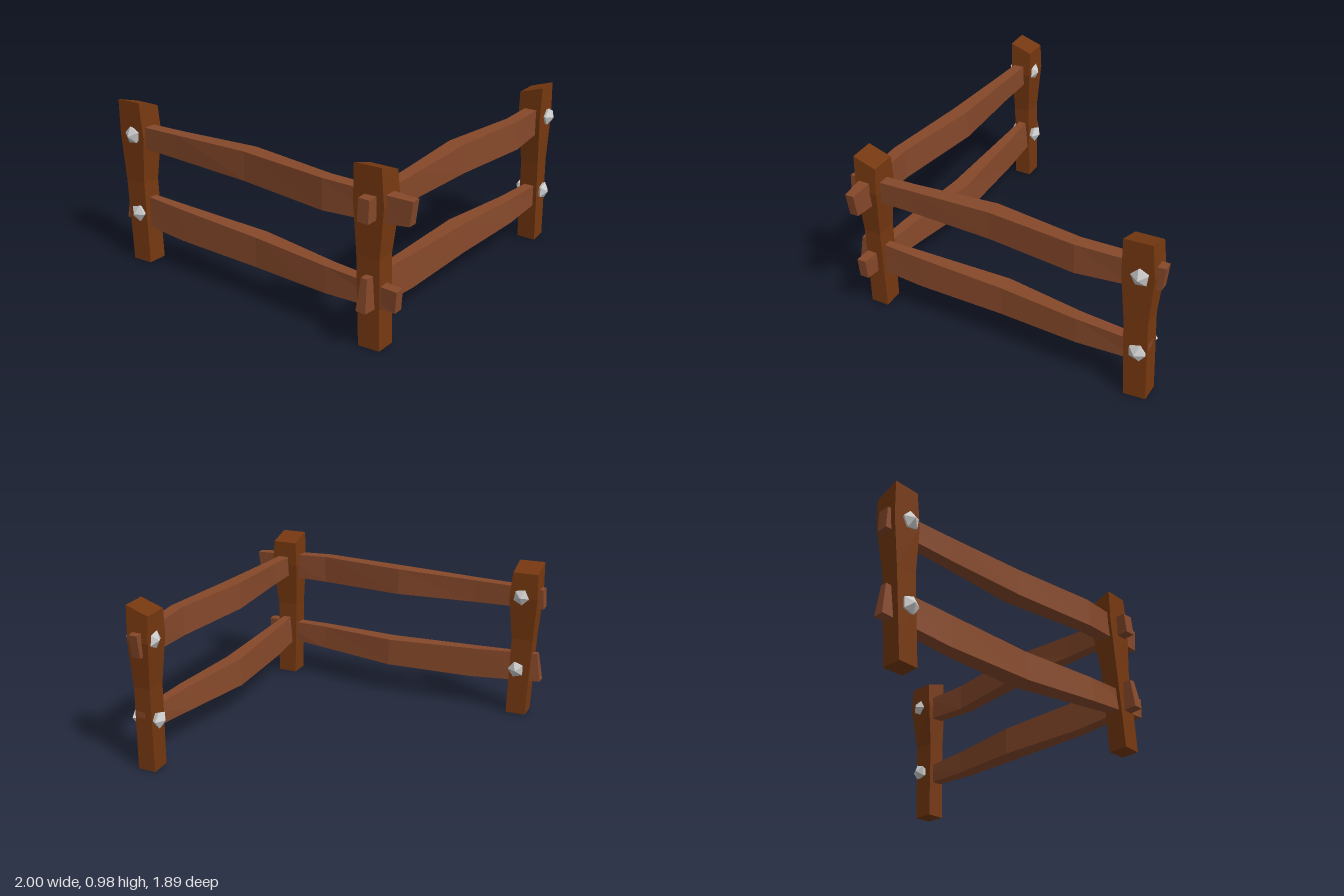
import * as THREE from 'three';

const postWood = new THREE.MeshStandardMaterial({ color: 0x763810, flatShading: true });
const railWood = new THREE.MeshStandardMaterial({ color: 0x85482a, flatShading: true });
const metal = new THREE.MeshStandardMaterial({ color: 0xcccccc, flatShading: true });

// Skin a run of four-cornered rings, with both ends capped
function loft(rings) {
  const pos = [];
  const quad = (a, b, c, d) => pos.push(...a, ...b, ...c, ...a, ...c, ...d);
  for (let i = 0; i < rings.length - 1; i++) {
    for (let j = 0; j < 4; j++) {
      const k = (j + 1) % 4;
      quad(rings[i][j], rings[i][k], rings[i + 1][k], rings[i + 1][j]);
    }
  }
  const [p, q, r, s] = rings[0];
  quad(s, r, q, p);
  quad(...rings[rings.length - 1]);
  const geo = new THREE.BufferGeometry();
  geo.setAttribute('position', new THREE.Float32BufferAttribute(pos, 3));
  geo.computeVertexNormals();
  return geo;
}

function add(parent, name, geo, mat) {
  const mesh = new THREE.Mesh(geo, mat);
  mesh.name = name;
  parent.add(mesh);
  return mesh;
}

// Post rings: y at back, y at front, x range, z range (sloped top)
const postGeo = loft([
  [0, 0, -0.05, 0.072, -0.045, 0.07],
  [0.5, 0.5, -0.066, 0.064, -0.045, 0.065],
  [0.78, 0.78, -0.085, 0.088, -0.073, 0.067],
  [0.935, 0.98, -0.08, 0.073, -0.073, 0.068],
].map(([yb, yf, x0, x1, z0, z1]) => [
  [x0, yb, z0], [x0, yf, z1], [x1, yf, z1 - 0.012], [x1, yb, z0 - 0.008],
]));

// Rail rings: x, lean of the top edge, y range, z range, taper of the top
const railGeo = (rows) => loft(rows.map(([x, lean, y0, y1, z0, z1, t]) => [
  [x, y0, z0], [x + lean, y1, z0 + t], [x + lean, y1, z1 - t], [x, y0, z1],
]));
const rails = {
  upperRail: railGeo([
    [-0.99, 0.01, 0.71, 0.83, 0.785, 0.85, 0],
    [-0.55, 0, 0.7, 0.84, 0.77, 0.842, 0],
    [-0.05, 0, 0.69, 0.853, 0.735, 0.842, 0.005],
    [0.5, 0, 0.68, 0.85, 0.795, 0.88, 0.005],
    [0.82, 0, 0.69, 0.84, 0.775, 0.85, 0],
    [0.98, 0.018, 0.7, 0.833, 0.773, 0.825, 0],
  ]),
  lowerRail: railGeo([
    [-1, 0.03, 0.235, 0.41, 0.785, 0.845, 0.012],
    [-0.55, 0, 0.203, 0.39, 0.755, 0.842, 0.01],
    [0, 0, 0.2, 0.37, 0.718, 0.835, 0.01],
    [0.5, 0, 0.215, 0.363, 0.775, 0.865, 0.01],
    [0.93, 0.008, 0.238, 0.355, 0.805, 0.86, 0],
  ]),
};

// Five-sided bolt head with its point along +y
const boltGeo = new THREE.LatheGeometry(
  [[0, -0.02], [0.036, -0.02], [0.052, 0.016], [0, 0.046]].map(([r, y]) => new THREE.Vector2(r, y)), 5);

function addPost(parent, name, x, z, turn, bolted) {
  const group = new THREE.Group();
  group.name = name;
  group.position.set(x, 0, z);
  group.rotation.y = turn;
  add(group, 'post', postGeo, postWood);
  if (bolted) {
    for (const y of [0.31, 0.785]) {
      for (const side of [1, -1]) {
        const bolt = add(group, 'bolt', boltGeo, metal);
        bolt.position.set(0.017, y, side > 0 ? 0.06 : -0.062);
        bolt.rotation.x = side * Math.PI / 2;
        bolt.rotateY(y);
      }
    }
  }
  parent.add(group);
}

export function createModel() {
  const model = new THREE.Group();
  model.name = 'cornerFence';

  addPost(model, 'frontEndPost', -0.875, 0.812, 0, true);
  addPost(model, 'cornerPost', 0.775, 0.812, 0, false);
  addPost(model, 'backEndPost', 0.785, -0.82, Math.PI / 2, true);

  // The side run repeats the front run, turned a quarter and slightly shorter
  for (const run of ['front', 'side']) {
    const group = new THREE.Group();
    group.name = run + 'Rails';
    for (const name in rails) add(group, name, rails[name], railWood);
    if (run === 'side') {
      group.rotation.y = Math.PI / 2;
      group.scale.x = 0.948;
      group.position.x = -0.028;
    }
    model.add(group);
  }
  return model;
}
